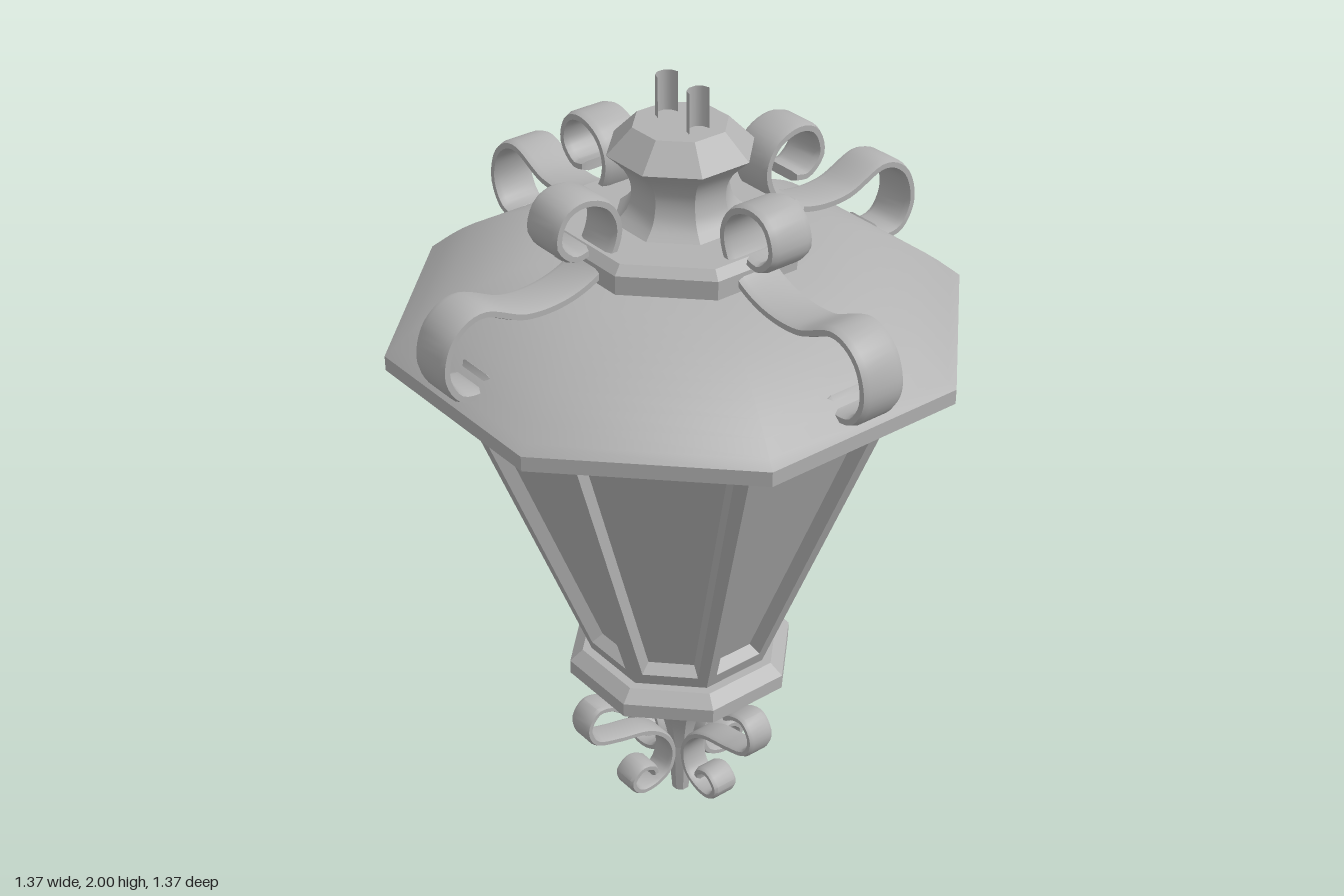
import * as THREE from 'three';
import { toCreasedNormals } from 'three/addons/utils/BufferGeometryUtils.js';

const iron = new THREE.MeshStandardMaterial({ color: 0xb2b2b2 });
iron.name = 'grey iron';
const sheet = new THREE.MeshStandardMaterial({ color: 0xb2b2b2, side: THREE.DoubleSide });
sheet.name = 'grey sheet';

function add(parent, name, geometry, material = iron) {
  const mesh = new THREE.Mesh(geometry, material);
  mesh.name = name;
  parent.add(mesh);
  return mesh;
}

// Eight-sided turning; the profile lists [distance to the flat, y] from bottom to top
function octagon(profile, crease) {
  const k = 1 / Math.cos(Math.PI / 8);
  const points = profile.map(([a, y]) => new THREE.Vector2(a * k, y));
  return toCreasedNormals(new THREE.LatheGeometry(points, 8, Math.PI / 8), crease);
}

// Smooth run of profile points through a few guides
function smooth(guides, n = 12) {
  return new THREE.SplineCurve(guides.map(p => new THREE.Vector2(...p)))
    .getPoints(n).map(p => [p.x, p.y]);
}

// Flat bar bent along a curve in the xy plane, with chamfered long edges
function scroll(path, thickness, width) {
  const curve = new THREE.SplineCurve(path.map(p => new THREE.Vector2(...p)));
  const bevel = thickness * 0.22, chamfer = width * 0.13;
  const n = 72, half = thickness / 2 - bevel, left = [], right = [];
  for (let i = 0; i <= n; i++) {
    const p = curve.getPointAt(i / n), t = curve.getTangentAt(i / n);
    left.push(new THREE.Vector2(p.x - t.y * half, p.y + t.x * half));
    right.push(new THREE.Vector2(p.x + t.y * half, p.y - t.x * half));
  }
  const depth = width - 2 * chamfer;
  const geometry = new THREE.ExtrudeGeometry(new THREE.Shape([...right, ...left.reverse()]), {
    depth, bevelEnabled: true, bevelSegments: 1, bevelSize: bevel, bevelThickness: chamfer
  });
  geometry.translate(0, 0, -depth / 2);
  return toCreasedNormals(geometry, 0.6);
}

// One side of the lantern body: frame, sloping reveal and sunken pane
const bottomY = 0.5, topY = 1.39, bottomA = 0.212, topA = 0.525;
const slope = (topA - bottomA) / (topY - bottomY);
const tilt = Math.atan(slope);

function ring(y0, h0, y1, h1, depth) {
  const point = (h, y) => [
    h,
    y + depth * Math.sin(tilt),
    bottomA + (y - bottomY) * slope - depth * Math.cos(tilt)
  ];
  return [point(-h0, y0), point(h0, y0), point(h1, y1), point(-h1, y1)];
}

function faces(quads) {
  const positions = quads.flatMap(([a, b, c, d]) => [a, b, c, a, c, d].flat());
  const geometry = new THREE.BufferGeometry();
  geometry.setAttribute('position', new THREE.Float32BufferAttribute(positions, 3));
  geometry.computeVertexNormals();
  return geometry;
}

function between(outer, inner) {
  return outer.map((p, i) => [p, outer[(i + 1) % 4], inner[(i + 1) % 4], inner[i]]);
}

export function createModel() {
  const model = new THREE.Group();
  model.name = 'lantern';

  // Bottom finial and flared funnel
  add(model, 'finial', octagon([[0, 0], [0.021, 0], [0.026, 0.07], [0.03, 0.2]], 0.5));
  add(model, 'funnel', octagon(
    smooth([[0.026, 0.12], [0.035, 0.2], [0.06, 0.28], [0.125, 0.37], [0.215, 0.44]]), 0.6));

  // Band under the body
  add(model, 'baseBand', octagon(
    [[0, 0.438], [0.265, 0.438], [0.265, 0.475], [0.235, 0.503], [0, 0.503]], 0.4));

  // Eight framed panes
  const t = Math.tan(Math.PI / 8);
  const outer = ring(bottomY, bottomA * t, topY, topA * t, 0);
  const opening = ring(0.54, 0.068, 1.362, 0.18, 0);
  const sunk = ring(0.552, 0.056, 1.34, 0.163, 0.03);
  const frameGeometry = faces([...between(outer, opening), ...between(opening, sunk)]);
  const paneGeometry = faces([sunk]);
  for (let i = 0; i < 8; i++) {
    const side = new THREE.Group();
    side.name = 'bodySide';
    add(side, 'frame', frameGeometry, sheet);
    add(side, 'pane', paneGeometry, sheet);
    side.rotation.y = i * Math.PI / 4;
    model.add(side);
  }

  // Domed roof with a straight rim
  add(model, 'roofRim', octagon([[0, 1.386], [0.635, 1.386], [0.635, 1.422]], 0.4));
  add(model, 'roof', octagon(
    smooth([[0.635, 1.422], [0.55, 1.495], [0.45, 1.556], [0.35, 1.595], [0.25, 1.615]]), 0.7));

  // Collar, waisted neck and cap
  add(model, 'collar', octagon(
    [[0.25, 1.61], [0.27, 1.615], [0.27, 1.66], [0.25, 1.68], [0, 1.68]], 0.4));
  add(model, 'neck', octagon(
    smooth([[0.15, 1.675], [0.115, 1.71], [0.105, 1.76], [0.12, 1.805], [0.157, 1.845]]), 0.5));
  add(model, 'cap', octagon([[0.157, 1.845], [0.102, 1.905], [0, 1.905]], 0.4));

  // Two open hooks on the cap
  for (const [z, turn] of [[-0.045, Math.PI / 2], [0.065, Math.PI / 2]]) {
    const hook = new THREE.CylinderGeometry(0.028, 0.028, 0.11, 5, 1, true, turn, Math.PI);
    add(model, 'hook', hook, sheet).position.set(0, 1.945, z);
  }

  // Four pairs of scrolls
  const roofScroll = scroll([
    [0.296, 1.7], [0.335, 1.697], [0.372, 1.74], [0.352, 1.8], [0.297, 1.818], [0.235, 1.79],
    [0.212, 1.725], [0.25, 1.65], [0.345, 1.605], [0.46, 1.602], [0.572, 1.645], [0.645, 1.61],
    [0.671, 1.53], [0.64, 1.465], [0.58, 1.455], [0.558, 1.478]
  ], 0.024, 0.11);
  const baseScroll = scroll([
    [0.212, 0.378], [0.245, 0.4], [0.285, 0.405], [0.312, 0.365], [0.29, 0.315], [0.222, 0.29],
    [0.135, 0.268], [0.078, 0.228], [0.05, 0.17], [0.062, 0.11], [0.105, 0.082], [0.155, 0.083],
    [0.178, 0.12], [0.148, 0.15], [0.112, 0.138], [0.105, 0.117]
  ], 0.019, 0.07);
  for (let i = 0; i < 4; i++) {
    add(model, 'roofScroll', roofScroll).rotation.y = i * Math.PI / 2;
    add(model, 'baseScroll', baseScroll).rotation.y = i * Math.PI / 2;
  }
  return model;
}
